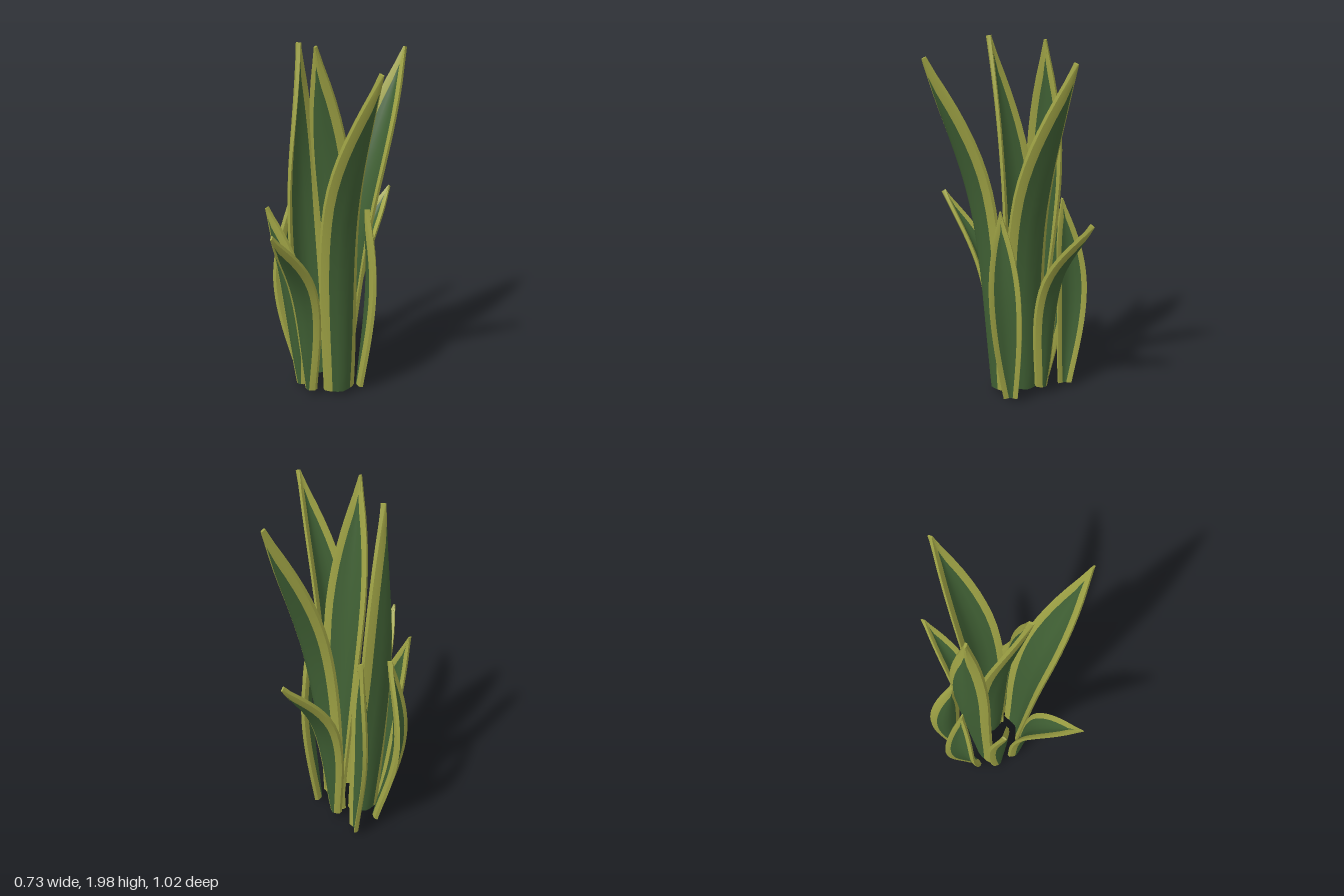
import * as THREE from 'three';
import { toCreasedNormals } from 'three/addons/utils/BufferGeometryUtils.js';

const ROWS = 20;
const COLS = 9;
const TALL = { width: 0.24, foot: 0.74, widest: 0.58, border: 0.036 };
const SHORT = { width: 0.17, foot: 0.45, widest: 0.54, border: 0.028 };

// foot as [x, z], belly and tip as [x, y, z]; turn is the direction of the blade's
// width in degrees (the hollow side is 90 degrees further on), twist is added by the tip
const LEAVES = [
  { name: 'frontTallLeaf', kind: TALL, foot: [0.09, 0.09], belly: [0.15, 1.15, 0.18], tip: [0.36, 1.92, 0.34], turn: 140, twist: -28 },
  { name: 'backTallLeaf', kind: TALL, foot: [0.06, -0.1], belly: [0.15, 1.1, -0.18], tip: [0.28, 1.92, -0.43], turn: 48, twist: -30 },
  { name: 'centreTallLeaf', kind: TALL, foot: [0.02, -0.05], belly: [-0.01, 1.2, 0.03], tip: [-0.03, 2, 0.16], turn: 225, twist: -45 },
  { name: 'sideTallLeaf', kind: TALL, foot: [-0.14, -0.08], belly: [-0.245, 1.2, -0.11], tip: [-0.21, 1.97, -0.09], turn: -38, twist: -54 },
  { name: 'backArchingLeaf', kind: SHORT, foot: [0.02, -0.18], belly: [0.07, 0.7, -0.27], tip: [0.19, 1.1, -0.5], turn: 32, twist: -25 },
  { name: 'frontArchingLeaf', kind: SHORT, foot: [-0.09, 0.13], belly: [-0.1, 0.68, 0.24], tip: [-0.15, 1.1, 0.5], turn: 204, twist: -27 },
  { name: 'frontShortLeaf', kind: SHORT, foot: [-0.17, 0.05], belly: [-0.23, 0.7, 0.1], tip: [-0.32, 1.12, 0.13], turn: 200 },
  { name: 'leftShortLeaf', kind: SHORT, foot: [0.15, -0.04], belly: [0.2, 0.65, -0.03], tip: [0.2, 1.12, 0], turn: -106 },
  { name: 'rightShortLeaf', kind: SHORT, foot: [-0.2, -0.09], belly: [-0.31, 0.6, -0.12], tip: [-0.27, 1.11, -0.12], turn: 91 },
  { name: 'backShortLeaf', kind: SHORT, foot: [-0.13, -0.25], belly: [-0.18, 0.6, -0.26], tip: [-0.14, 1.13, -0.22], turn: 233 },
];

// share of the full width: swells from the foot, then narrows to a blunt tip
function widthShare({ foot, widest }, t) {
  if (t < widest) return foot + (1 - foot) * Math.sin(Math.PI / 2 * t / widest);
  return Math.max(0.05, 1 - Math.pow((t - widest) / (1 - widest), 2));
}

// closed cross-sections of a hollowed blade, following its spine
function leafRings({ kind, foot, belly, tip, turn, twist = 0 }) {
  // feet further from the middle of the clump sit lower
  const footY = 0.08 - 0.25 * Math.abs(foot[0]);
  const spine = new THREE.CatmullRomCurve3([
    new THREE.Vector3(foot[0], footY, foot[1]), new THREE.Vector3(...belly), new THREE.Vector3(...tip),
  ]);
  const rings = [];
  for (let j = 0; j <= ROWS; j++) {
    const t = j / ROWS;
    const centre = spine.getPointAt(t), along = spine.getTangentAt(t);
    const angle = THREE.MathUtils.degToRad(turn + twist * t);
    const across = new THREE.Vector3(Math.cos(angle), 0, Math.sin(angle));
    across.addScaledVector(along, -across.dot(along)).normalize();
    const inward = new THREE.Vector3().crossVectors(across, along);
    const half = widthShare(kind, t) * kind.width / 2;
    const b = Math.max(0, 1 - kind.border / half);
    const stops = [-1, -(1 + b) / 2, -b, -b / 2, 0, b / 2, b, (1 + b) / 2, 1];
    const face = (side) => stops.map((u) => {
      const thick = Math.abs(u) === 1 ? 0.009 : 0.014;
      return centre.clone().addScaledVector(across, u * half)
        .addScaledVector(inward, 0.46 * half * Math.pow(Math.abs(u), 1.4) + side * thick);
    });
    rings.push([...face(1), ...face(-1).reverse()]);
  }
  return rings;
}

// the green middle and the yellow rim of one leaf
function leafGeometries(spec) {
  const rings = leafRings(spec);
  const green = [], yellow = [];
  const tri = (out, p, q, r) => {
    const area = new THREE.Vector3().crossVectors(q.clone().sub(p), r.clone().sub(p)).length();
    if (area > 1e-9) out.push(...p.toArray(), ...q.toArray(), ...r.toArray());
  };
  const quad = (out, p, q, r, s) => { tri(out, p, q, r); tri(out, p, r, s); };
  const n = COLS * 2;
  const listFor = (i) => (i % COLS >= 2 && i % COLS < 6 ? green : yellow);
  for (let j = 0; j < ROWS; j++) {
    for (let i = 0; i < n; i++) {
      const k = (i + 1) % n;
      quad(listFor(i), rings[j][i], rings[j][k], rings[j + 1][k], rings[j + 1][i]);
    }
  }
  // end caps
  const first = rings[0], last = rings[ROWS];
  for (let i = 0; i < COLS - 1; i++) {
    quad(listFor(i), first[i], first[n - 1 - i], first[n - 2 - i], first[i + 1]);
    quad(yellow, last[i], last[i + 1], last[n - 2 - i], last[n - 1 - i]);
  }
  return [green, yellow].map((list) => {
    const geometry = new THREE.BufferGeometry();
    geometry.setAttribute('position', new THREE.Float32BufferAttribute(list, 3));
    return toCreasedNormals(geometry, 0.7);
  });
}

export function createModel() {
  const leafGreen = new THREE.MeshStandardMaterial({ color: 0x406034 });
  leafGreen.name = 'leaf green';
  const rimYellow = new THREE.MeshStandardMaterial({ color: 0x9fa345 });
  rimYellow.name = 'rim yellow';

  const plant = new THREE.Group();
  plant.name = 'plant';
  for (const spec of LEAVES) {
    const leaf = new THREE.Group();
    leaf.name = spec.name;
    const [middle, edge] = leafGeometries(spec);
    const blade = new THREE.Mesh(middle, leafGreen);
    blade.name = 'blade';
    const rim = new THREE.Mesh(edge, rimYellow);
    rim.name = 'rim';
    leaf.add(blade, rim);
    plant.add(leaf);
  }
  return plant;
}
